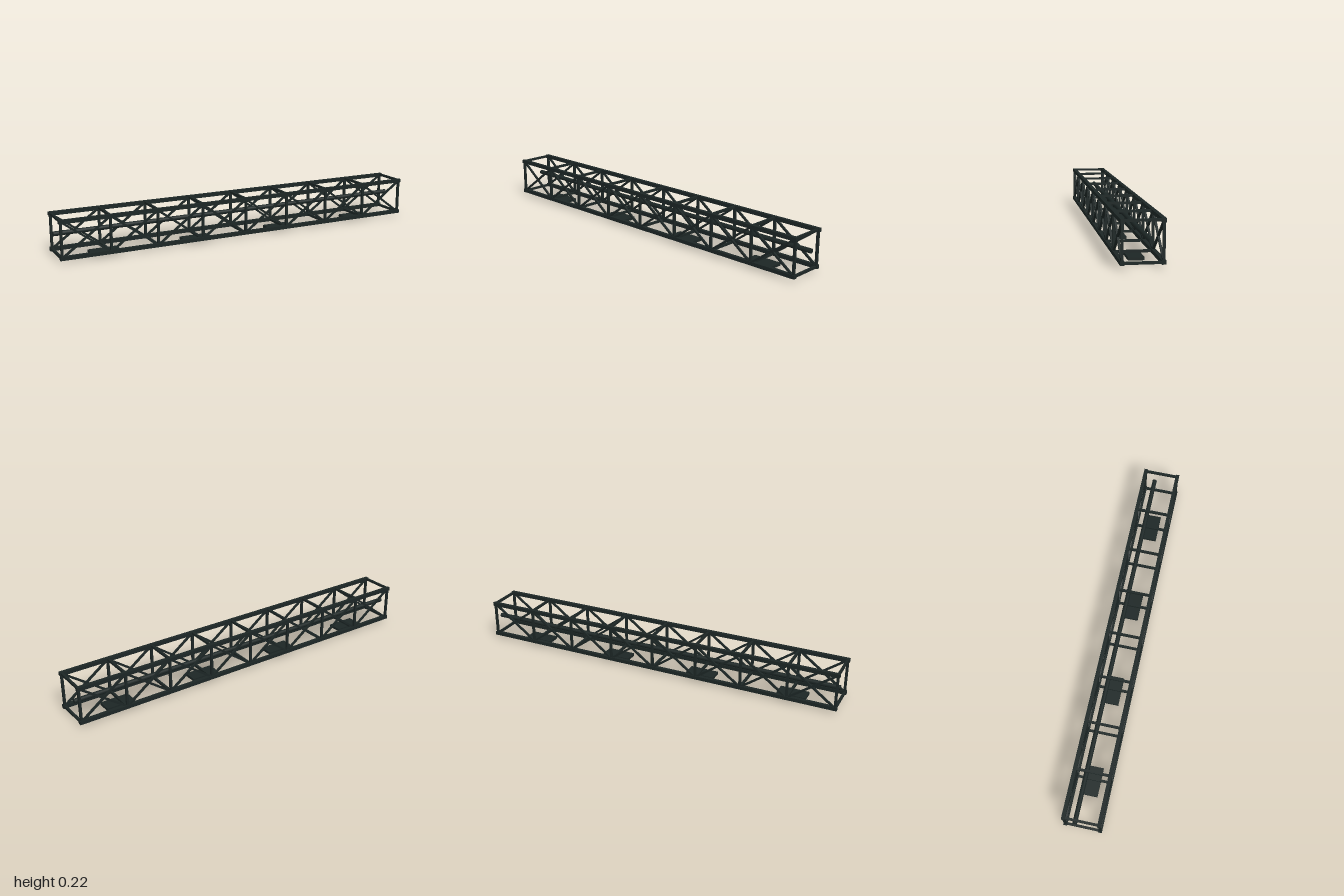
import * as THREE from 'three';

export function createModel() {
  const group = new THREE.Group();
  const steel = new THREE.MeshStandardMaterial({ color: 0x1c2625 });
  steel.name = 'dark steel';
  const glow = new THREE.MeshStandardMaterial({ color: 0x7b5ec4 });
  glow.name = 'violet lamp';

  const UP = new THREE.Vector3(0, 1, 0);
  function add(name, geometry, material) {
    const mesh = new THREE.Mesh(geometry, material);
    mesh.name = name;
    group.add(mesh);
    return mesh;
  }
  // Square bar between two points
  function bar(name, a, b, width) {
    const from = new THREE.Vector3(...a), to = new THREE.Vector3(...b);
    const dir = to.clone().sub(from);
    const mesh = add(name, new THREE.BoxGeometry(width, dir.length(), width), steel);
    mesh.position.copy(from).add(to).multiplyScalar(0.5);
    mesh.quaternion.setFromUnitVectors(UP, dir.normalize());
  }
  function box(name, size, position, material) {
    add(name, new THREE.BoxGeometry(...size), material).position.set(...position);
  }

  const low = 0.028, high = 0.209, side = 0.09, bays = 8, end = 0.99;
  const frameX = i => -end + (2 * end * i) / bays;

  // Four long chords
  for (const y of [low, high])
    for (const z of [-side, side]) bar('chord', [-1, y, z], [1, y, z], 0.019);

  // Square frames between the bays
  for (let i = 0; i <= bays; i++) {
    const x = frameX(i);
    for (const z of [-side, side]) bar('upright', [x, low, z], [x, high, z], 0.012);
    for (const y of [low - 0.001, high + 0.002]) bar('crossBar', [x, y, -side], [x, y, side], 0.012);
  }

  // Crossed braces on the front and back
  for (let i = 0; i < bays; i++) {
    for (const z of [-side, side]) {
      bar('brace', [frameX(i), low, z], [frameX(i + 1), high, z], 0.01);
      bar('brace', [frameX(i), high, z], [frameX(i + 1), low, z], 0.01);
    }
  }

  // Cable conduit running inside the truss
  const conduit = add('conduit', new THREE.CylinderGeometry(0.012, 0.012, 1.99, 16), steel);
  conduit.rotation.z = Math.PI / 2;
  conduit.position.set(0, 0.119, -0.037);

  // Lamps under the truss
  for (const x of [-0.75, -0.25, 0.25, 0.75]) {
    box('lampHousing', [0.152, 0.014, 0.074], [x, 0.009, 0], steel);
    box('lampPanel', [0.134, 0.003, 0.056], [x, 0.0015, 0], glow);
  }
  return group;
}
